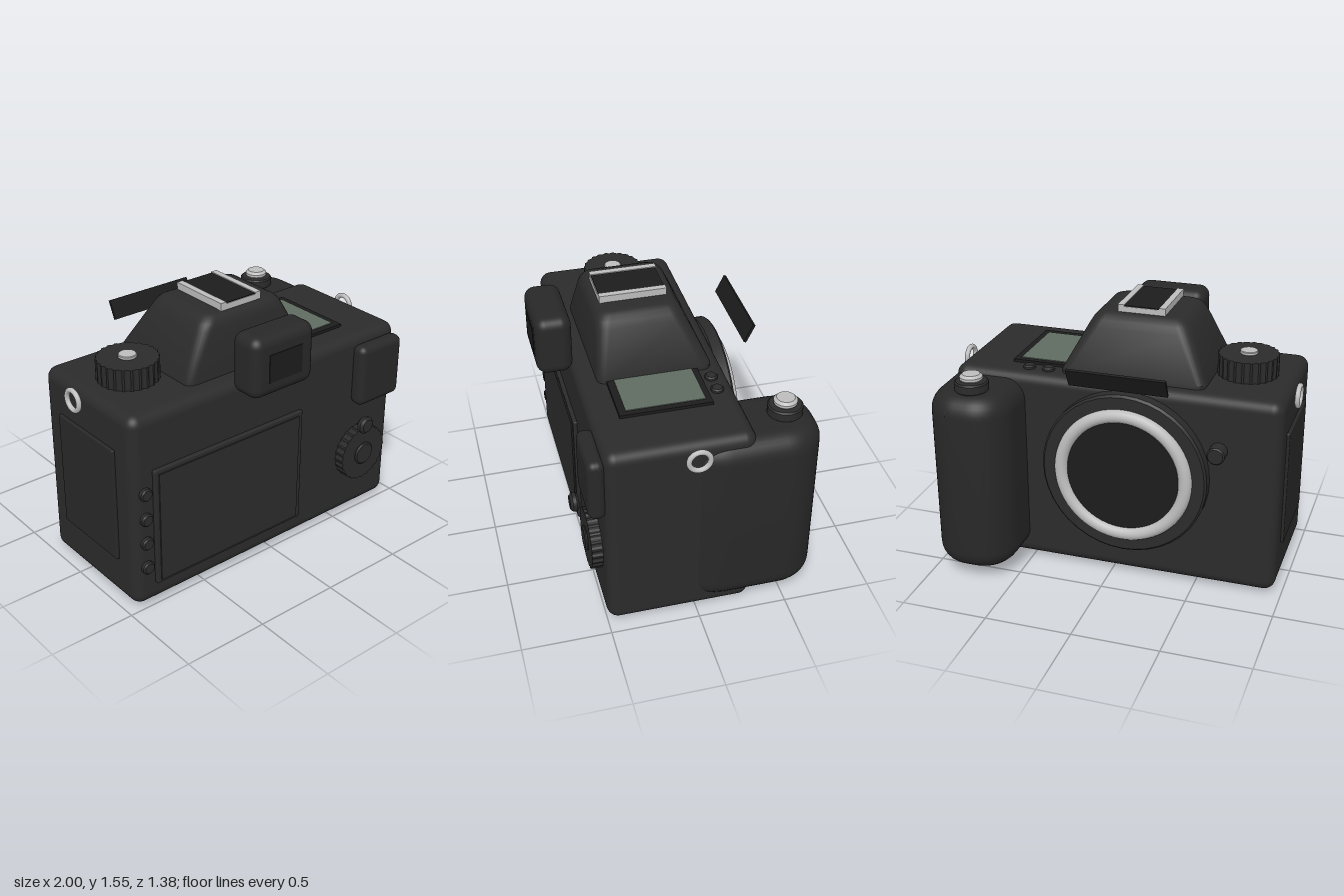
import * as THREE from 'three';
import { RoundedBoxGeometry } from 'three/addons/geometries/RoundedBoxGeometry.js';
import { toCreasedNormals } from 'three/addons/utils/BufferGeometryUtils.js';

const material = (name, color) => {
  const m = new THREE.MeshStandardMaterial({ color });
  m.name = name;
  return m;
};

// Closed skin through rounded rectangles: [y, x0, x1, z0, z1, corner radius]
function loft(sections, steps = 6) {
  const pos = [], index = [], n = 4 * (steps + 1);
  for (const [y, x0, x1, z0, z1, r] of sections) {
    const corners = [[x1 - r, z0 + r], [x0 + r, z0 + r], [x0 + r, z1 - r], [x1 - r, z1 - r]];
    corners.forEach(([cx, cz], k) => {
      for (let s = 0; s <= steps; s++) {
        const a = (k + s / steps) * Math.PI / 2;
        pos.push(cx + r * Math.cos(a), y, cz - r * Math.sin(a));
      }
    });
  }
  for (let i = 0; i < sections.length - 1; i++) {
    for (let j = 0; j < n; j++) {
      const k = (j + 1) % n, a = i * n + j, b = i * n + k;
      index.push(a, b, b + n, a, b + n, a + n);
    }
  }
  // Flat top
  const [y, x0, x1, z0, z1] = sections[sections.length - 1];
  const centre = pos.length / 3, last = centre - n;
  pos.push((x0 + x1) / 2, y, (z0 + z1) / 2);
  for (let j = 0; j < n; j++) index.push(last + j, last + (j + 1) % n, centre);
  const g = new THREE.BufferGeometry();
  g.setAttribute('position', new THREE.Float32BufferAttribute(pos, 3));
  g.setIndex(index);
  return toCreasedNormals(g, 0.6);
}

// Cylinder along y with softened rims, standing on y = 0
function disc(r, h, bevel = 0.008) {
  const p = [[0, 0], [r - bevel, 0], [r, bevel], [r, h - bevel], [r - bevel, h], [0, h]];
  return toCreasedNormals(new THREE.LatheGeometry(p.map(q => new THREE.Vector2(...q)), 40), 0.5);
}

// Ribbed dial along y, standing on y = 0
function ribbedDial(r, h) {
  const shape = new THREE.Shape(), n = 96;
  for (let i = 0; i < n; i++) {
    const a = i / n * Math.PI * 2, q = i % 4 < 2 ? r : r - 0.007;
    shape[i ? 'lineTo' : 'moveTo'](q * Math.cos(a), q * Math.sin(a));
  }
  return new THREE.ExtrudeGeometry(shape, { depth: h, bevelEnabled: false }).rotateX(-Math.PI / 2);
}

export function createModel() {
  const group = new THREE.Group();
  const body = material('body black', 0x2b2b2b);
  const rubber = material('grip rubber', 0x282828);
  const black = material('deep black', 0x1c1c1c);
  const silver = material('silver', 0xbdbdbd);
  const steel = material('steel grey', 0x8c8c8c);
  const green = material('display green', 0x5f6b60);

  const add = (name, geo, mat, x = 0, y = 0, z = 0, rx = 0) => {
    const m = new THREE.Mesh(geo, mat);
    m.name = name;
    m.position.set(x, y, z);
    m.rotation.x = rx;
    group.add(m);
    return m;
  };
  // Box given by its limits, rounded when r > 0
  const block = (name, mat, [x0, x1], [y0, y1], [z0, z1], r = 0) => {
    const s = [x1 - x0, y1 - y0, z1 - z0];
    const g = r ? new RoundedBoxGeometry(...s, 5, r) : new THREE.BoxGeometry(...s);
    return add(name, g, mat, (x0 + x1) / 2, (y0 + y1) / 2, (z0 + z1) / 2);
  };
  const BACK = Math.PI / 2, FRONT = -Math.PI / 2;

  // Main housing
  block('body', body, [-0.96, 0.94], [0.02, 1.18], [-0.31, 0.5], 0.065);
  block('sidePanel', rubber, [-0.977, -0.95], [0.27, 0.95], [-0.155, 0.35], 0.008);

  // Hand grip
  const g = new THREE.Shape();
  g.moveTo(0.51, 0.02);
  g.lineTo(0.51, 0.47);
  g.bezierCurveTo(0.51, 0.6, 0.6, 0.69, 0.71, 0.69);
  g.lineTo(0.78, 0.69);
  g.bezierCurveTo(0.89, 0.69, 0.98, 0.6, 0.98, 0.47);
  g.lineTo(0.98, 0.17);
  g.bezierCurveTo(0.98, 0.1, 0.96, 0.04, 0.93, -0.01);
  g.closePath();
  const grip = new THREE.ExtrudeGeometry(g, {
    depth: 0.83, bevelThickness: 0.12, bevelSize: 0.11, bevelOffset: -0.11, bevelSegments: 8, curveSegments: 12,
  }).rotateX(-Math.PI / 2);
  add('grip', toCreasedNormals(grip, 0.7), rubber, 0, 0.19, 0);
  const wheel = add('frontWheel', disc(0.115, 0.1), body, 0.835, 1.02, -0.57);
  wheel.rotation.z = Math.PI / 2;

  // Shutter release
  add('shutterCollar', disc(0.095, 0.06), body, 0.735, 1.135, -0.515);
  add('shutterButton', disc(0.064, 0.045, 0.015), silver, 0.735, 1.19, -0.515);

  // Viewfinder hump
  add('viewfinderHump', loft([
    [1.16, -0.51, 0.32, -0.24, 0.395, 0.05],
    [1.2, -0.51, 0.32, -0.24, 0.395, 0.05],
    [1.44, -0.395, 0.2, -0.13, 0.367, 0.07],
    [1.475, -0.375, 0.18, -0.113, 0.36, 0.07],
    [1.5, -0.352, 0.158, -0.092, 0.342, 0.06],
    [1.512, -0.325, 0.13, -0.068, 0.318, 0.05],
    [1.515, -0.29, 0.1, -0.04, 0.29, 0.04],
  ]), body);

  // Accessory shoe
  block('shoeBase', silver, [-0.235, 0.04], [1.505, 1.545], [-0.055, 0.32]);
  block('shoePlate', black, [-0.198, 0.003], [1.543, 1.55], [-0.051, 0.316]);
  for (const x of [-0.2165, 0.0215]) {
    block('shoeRail', silver, [x - 0.0185, x + 0.0185], [1.52, 1.555], [-0.055, 0.32]);
  }

  // Eyepiece
  block('eyecup', rubber, [-0.31, 0.115], [1.135, 1.485], [0.485, 0.685], 0.06);
  block('eyepieceWindow', black, [-0.21, 0.015], [1.225, 1.385], [0.68, 0.689]);

  // Raised flash panel
  add('flashPanel', new THREE.BoxGeometry(0.555, 0.115, 0.015), black, -0.097, 1.275, -0.495, -0.45);

  // Top plate controls
  add('modeDial', ribbedDial(0.172, 0.125), body, -0.68, 1.175, 0.09);
  add('modeDialLock', disc(0.05, 0.02, 0.004), silver, -0.68, 1.298, 0.09);
  block('topDisplayFrame', black, [0.2, 0.635], [1.17, 1.197], [-0.155, 0.35]);
  block('topDisplay', green, [0.23, 0.6], [1.195, 1.201], [-0.12, 0.31]);
  for (const x of [0.4, 0.515]) add('topButton', disc(0.035, 0.03), body, x, 1.17, -0.21);

  // Lens mount
  add('mountFlange', disc(0.48, 0.085, 0.012), body, -0.095, 0.675, -0.302, FRONT);
  add('mountRing', new THREE.TorusGeometry(0.362, 0.038, 16, 64), silver, -0.095, 0.675, -0.392);
  add('mountCover', disc(0.35, 0.015, 0.002), black, -0.095, 0.675, -0.382, FRONT);
  add('lensRelease', disc(0.05, 0.09), body, -0.62, 0.87, -0.305, FRONT);

  // Rear screen and buttons
  block('screenFrame', body, [-0.835, 0.195], [0.145, 0.855], [0.48, 0.522], 0.008);
  block('screen', black, [-0.81, 0.165], [0.165, 0.83], [0.52, 0.529]).material = body;
  for (const y of [0.73, 0.575, 0.425, 0.27]) {
    add('menuButton', disc(0.037, 0.035), body, -0.885, y, 0.49, BACK);
  }

  // Rear thumb controls
  block('thumbRest', rubber, [0.59, 0.915], [0.755, 1.13], [0.485, 0.583], 0.042);
  add('controlDial', ribbedDial(0.172, 0.07), body, 0.665, 0.42, 0.49, BACK);
  add('controlDialButton', disc(0.07, 0.02), body, 0.665, 0.42, 0.555, BACK);
  add('rearButton', disc(0.052, 0.048, 0.014), body, 0.615, 0.65, 0.585, BACK);

  // Strap lugs
  for (const x of [-0.985, 0.985]) {
    const lug = add('strapLug', new THREE.TorusGeometry(0.057, 0.0145, 12, 36), silver, x, 1.11, 0.018);
    lug.rotation.y = Math.PI / 2;
  }

  // Tripod socket
  add('tripodSocket', disc(0.075, 0.03, 0.002), steel, -0.095, 0, 0.1);

  return group;
}
